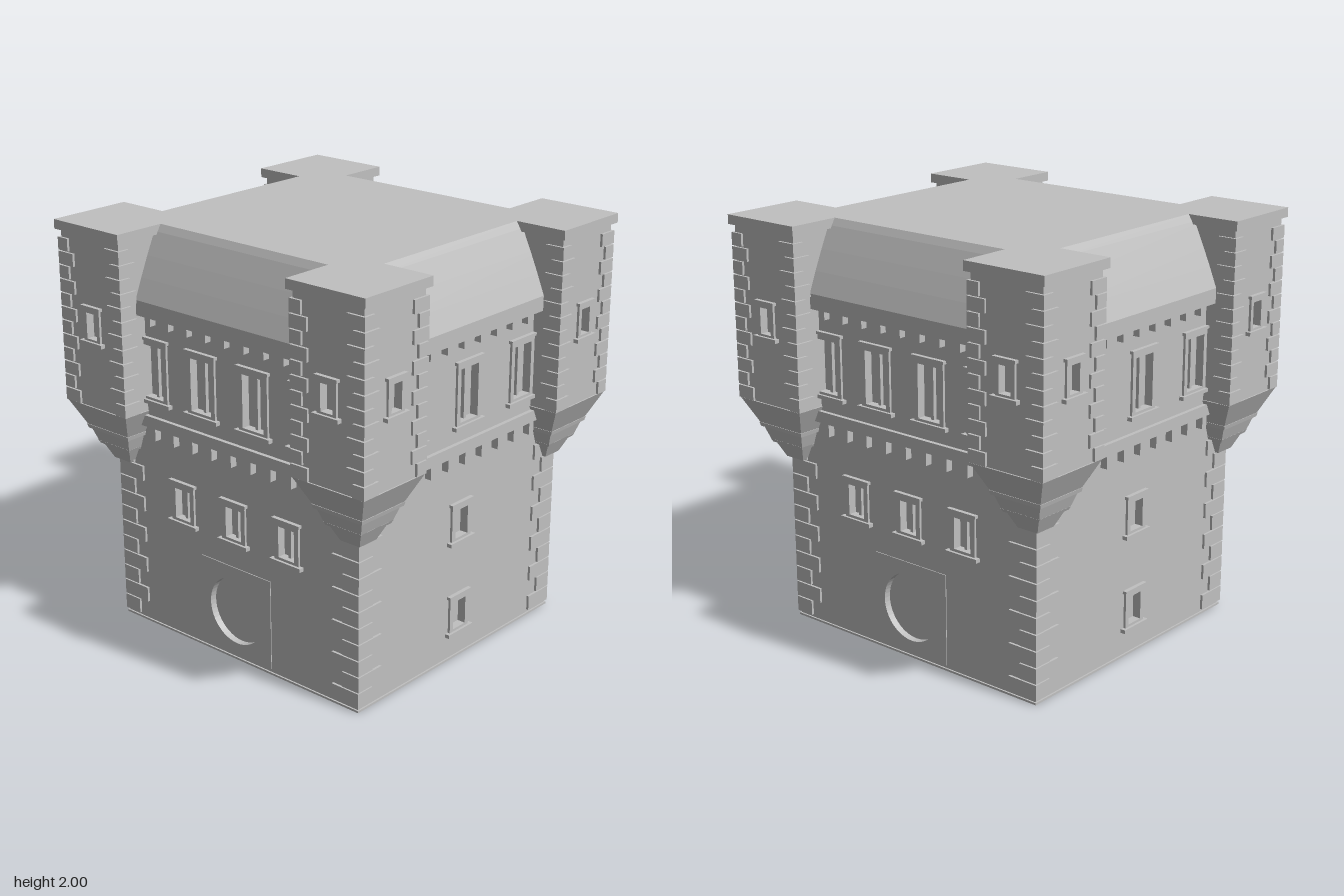
import * as THREE from 'three';

const stone = new THREE.MeshStandardMaterial({ color: 0xc0c0c0 });
stone.name = 'grey stone';

const HX = 0.71, HZ = 0.745;            // lower wall half sizes
const UX = 0.735, UZ = 0.77;            // upper wall half sizes
const TX = 0.683, TZ = 0.72, TH = 0.193; // turret centre and half width
const DEPTH = 0.03;                     // window recess

function add(parent, name, geo, x = 0, y = 0, z = 0) {
  const m = new THREE.Mesh(geo, stone);
  m.name = name;
  m.position.set(x, y, z);
  parent.add(m);
  return m;
}

// box given by its limits
function block(parent, name, x0, x1, y0, y1, z0, z1) {
  return add(parent, name, new THREE.BoxGeometry(x1 - x0, y1 - y0, z1 - z0),
    (x0 + x1) / 2, (y0 + y1) / 2, (z0 + z1) / 2);
}

// box whose top and bottom have different half sizes
function frustum(parent, name, cx, cz, bottom, top, y0, y1) {
  const g = new THREE.BoxGeometry(2, y1 - y0, 2);
  const p = g.attributes.position;
  for (let i = 0; i < p.count; i++) {
    const h = p.getY(i) > 0 ? top : bottom;
    p.setX(i, p.getX(i) * h[0]);
    p.setZ(i, p.getZ(i) * h[1]);
  }
  g.computeVertexNormals();
  return add(parent, name, g, cx, (y0 + y1) / 2, cz);
}

function rect(path, x0, x1, y0, y1) {
  path.moveTo(x0, y0);
  path.lineTo(x1, y0);
  path.lineTo(x1, y1);
  path.lineTo(x0, y1);
  path.closePath();
  return path;
}

// slab facing +z with its outer face at z, pierced by holes
function panel(parent, name, x0, x1, y0, y1, z, depth, holes) {
  const s = rect(new THREE.Shape(), x0, x1, y0, y1);
  s.holes.push(...holes);
  const g = new THREE.ExtrudeGeometry(s, { depth, bevelEnabled: false, curveSegments: 24 });
  return add(parent, name, g, 0, 0, z - depth);
}

const opening = w => rect(new THREE.Path(), w.x - w.h, w.x + w.h, w.y0, w.y1);

// surround, lintel, sill and glazing bars around an opening
function windowTrim(parent, w, z) {
  const g = new THREE.Group();
  g.name = 'window';
  parent.add(g);
  const f = w.frame, o = w.h + f;
  panel(g, 'surround', w.x - o, w.x + o, w.y0 - f / 2, w.y1 + f, z + 0.012, 0.014, [opening(w)]);
  block(g, 'lintel', w.x - o - 0.01, w.x + o + 0.01, w.y1 + f, w.y1 + f + 0.014, z - 0.005, z + 0.02);
  block(g, 'sill', w.x - o - 0.02, w.x + o + 0.02, w.y0 - f / 2 - 0.018, w.y0 - f / 2, z - 0.005, z + 0.025);
  if (w.mullion) block(g, 'mullion', w.x - 0.008, w.x + 0.008, w.y0, w.y1, z - DEPTH - 0.002, z - 0.012);
}

// wall panel with all of its windows
function windowWall(parent, name, x0, x1, y0, y1, z, windows, extra = []) {
  panel(parent, name, x0, x1, y0, y1, z, DEPTH, [...windows.map(opening), ...extra]);
  windows.forEach(w => windowTrim(parent, w, z));
}

// alternating corner stones; (x, z) is the wall corner, signs point outwards
function quoins(parent, x, z, sx, sz, long, short, y0, n, pitch, gap, flip) {
  for (let i = 0; i < n; i++) {
    const xLong = (i % 2 === 0) === ((sx * sz > 0) !== flip);
    const w = xLong ? long : short, d = xLong ? short : long;
    add(parent, 'quoin', new THREE.BoxGeometry(w, pitch - gap, d),
      x + sx * (0.012 - w / 2), y0 + (i + 0.5) * pitch, z + sz * (0.012 - d / 2));
  }
}

function dentils(parent, n, pitch, y0, y1, z0, z1) {
  for (let i = 0; i < n; i++) {
    const x = (i - (n - 1) / 2) * pitch;
    block(parent, 'dentil', x - 0.017, x + 0.017, y0, y1, z0, z1);
  }
}

// one of the four sides, built facing +z
function buildSide(isFlank) {
  const side = new THREE.Group();
  side.name = isFlank ? 'flankSide' : 'mainSide';
  const [lw, lz] = isFlank ? [HZ, HX] : [HX, HZ];
  const [uw, uz] = isFlank ? [UZ, UX] : [UX, UZ];

  if (isFlank) {
    // three windows above a round recess set in a square plate
    const round = () => new THREE.Path().absarc(0, 0.25, 0.167, 0, Math.PI * 2, true);
    const wins = [-0.33, 0, 0.33].map(x => ({ x, h: 0.048, y0: 0.62, y1: 0.77, frame: 0.025, mullion: true }));
    windowWall(side, 'lowerWall', -lw, lw, 0, 1.06, lz, wins, [round()]);
    panel(side, 'roundRecessPlate', -0.22, 0.22, 0.025, 0.472, lz + 0.004, 0.006, [round()]);
  } else {
    const wins = [0.155, 0.62].map(y0 => ({ x: 0, h: 0.045, y0, y1: y0 + 0.138, frame: 0.024 }));
    windowWall(side, 'lowerWall', -lw, lw, 0, 1.06, lz, wins);
  }

  const xs = isFlank ? [-0.47, -0.162, 0.162, 0.47] : [-0.4, 0, 0.4];
  windowWall(side, 'upperWall', -uw, uw, 1.08, 1.62, uz,
    xs.map(x => ({ x, h: 0.063, y0: 1.2, y1: 1.452, frame: 0.024, mullion: true })));

  dentils(side, 9, 0.123, 0.985, 1.052, lz - 0.01, uz + 0.01);
  dentils(side, isFlank ? 9 : 8, 0.118, 1.555, 1.602, uz - 0.01, uz + 0.034);
  return side;
}

function buildTurret(sx, sz) {
  const t = new THREE.Group();
  t.name = 'cornerTurret';
  const inner = TH - DEPTH;
  // core, set back behind the two outer faces
  block(t, 'turretCore', sx > 0 ? -TH : -inner, sx > 0 ? inner : TH, 1.12, 1.96,
    sz > 0 ? -TH : -inner, sz > 0 ? inner : TH);
  const win = { x: 0, h: 0.033, y0: 1.465, y1: 1.59, frame: 0.02 };
  for (const angle of [sz > 0 ? 0 : Math.PI, sx * Math.PI / 2]) {
    const face = new THREE.Group();
    face.name = 'turretFace';
    face.rotation.y = angle;
    windowWall(face, 'turretWall', -TH, TH, 1.12, 1.96, TH, [win]);
    t.add(face);
  }
  for (const qx of [-1, 1]) for (const qz of [-1, 1]) {
    if (qx === -sx && qz === -sz) continue;
    quoins(t, qx * TH, qz * TH, qx, qz, 0.097, 0.064, 1.125, 12, 0.0663, 0.006, true);
  }
  block(t, 'turretCap', -0.214, 0.214, 1.955, 2, -0.214, 0.214);

  // stepped corbel: [bottom half, top half, bottom y, top y]
  for (const [b, top, y0, y1] of [
    [0.14, 0.2, 1.0, 1.125], [0.138, 0.143, 0.98, 1.0], [0.106, 0.128, 0.915, 0.98],
    [0.1, 0.107, 0.9, 0.915], [0.055, 0.09, 0.825, 0.9],
  ]) frustum(t, 'corbel', 0, 0, [b, b], [top, top], y0, y1);

  t.position.set(sx * TX, 0, sz * TZ);
  return t;
}

export function createModel() {
  const tower = new THREE.Group();
  tower.name = 'tower';

  // solid cores behind the pierced walls
  const c = DEPTH;
  block(tower, 'lowerCore', -HX + c, HX - c, 0, 1.06, -HZ + c, HZ - c);
  block(tower, 'upperCore', -UX + c, UX - c, 1.06, 1.62, -UZ + c, UZ - c);
  block(tower, 'plinth', -HX - 0.008, HX + 0.008, 0, 0.01, -HZ - 0.008, HZ + 0.008);
  block(tower, 'stringCourse', -UX - 0.02, UX + 0.02, 1.05, 1.105, -UZ - 0.02, UZ + 0.02);
  block(tower, 'eaves', -0.785, 0.785, 1.6, 1.672, -0.82, 0.82);

  // sloping parapet roof, in courses: [inset, y]
  const courses = [[0, 1.672], [0.04, 1.77], [0.082, 1.865], [0.13, 1.967], [0.15, 2]];
  for (let i = 0; i < courses.length - 1; i++) {
    const [a, y0] = courses[i], [b, y1] = courses[i + 1];
    frustum(tower, 'roofCourse', 0, 0, [0.785 - a, 0.82 - a], [0.785 - b, 0.82 - b], y0, y1);
  }

  for (let k = 0; k < 4; k++) {
    const side = buildSide(k % 2 === 1);
    side.rotation.y = k * Math.PI / 2;
    tower.add(side);
  }
  for (const sx of [-1, 1]) for (const sz of [-1, 1]) {
    quoins(tower, sx * HX, sz * HZ, sx, sz, 0.158, 0.097, 0.02, 11, 0.08, 0.006, false);
    tower.add(buildTurret(sx, sz));
  }
  return tower;
}
